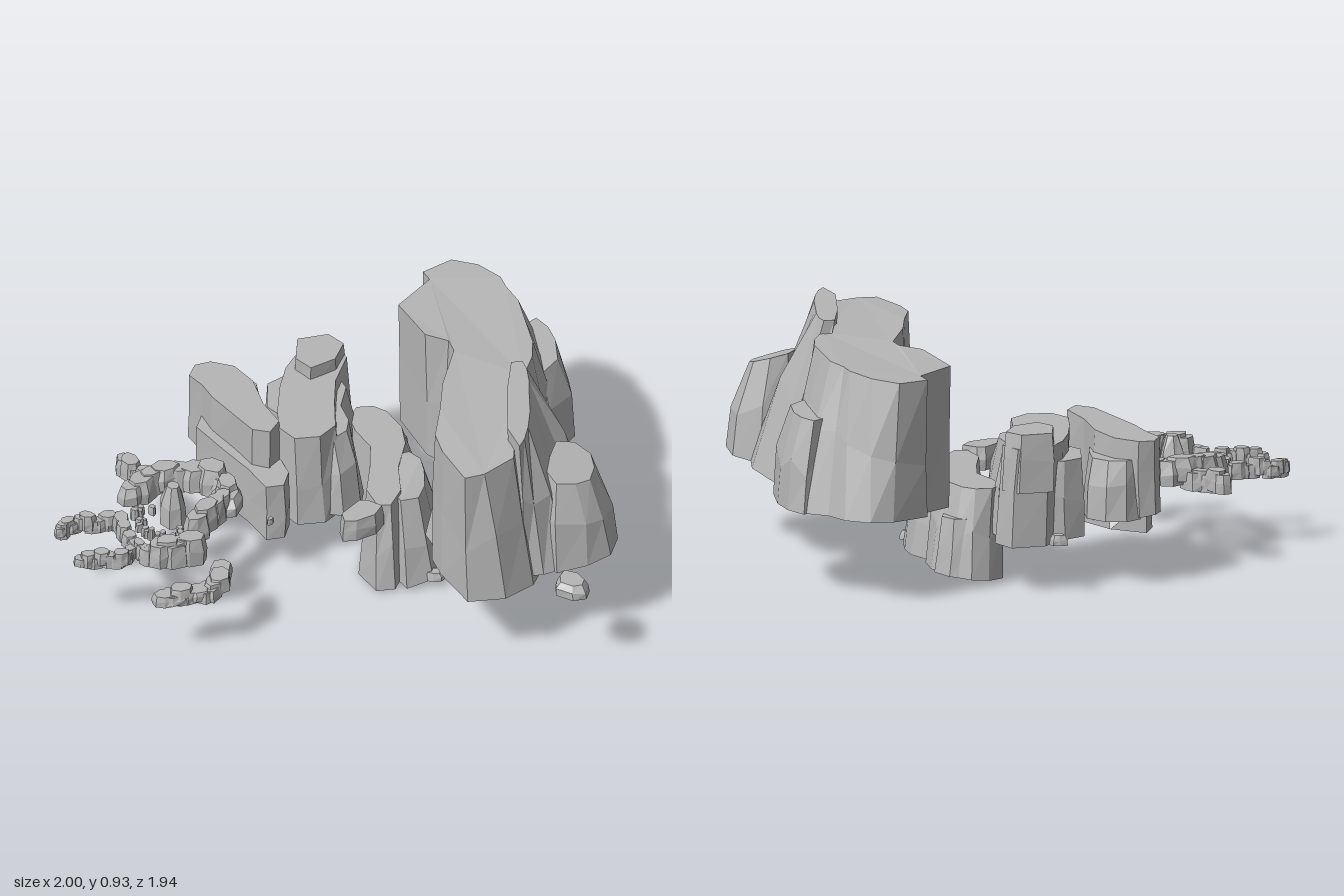
import * as THREE from 'three';
import { mergeGeometries } from 'three/addons/utils/BufferGeometryUtils.js';

const V2 = (p) => new THREE.Vector2(p[0], p[1]);
const pairs = (a) => Array.from({ length: a.length / 2 }, (_, i) => [a[2 * i], a[2 * i + 1]]);
const height = (y, x, z) => (typeof y === 'function' ? y(x, z) : y);
let seed = 7;
const rnd = () => (seed = (seed * 16807) % 2147483647) / 2147483647;

// True when a point lies within the body of a lofted rock.
function holds(rock, [x, y, z]) {
  const lo = height(rock.y0, x, z), hi = height(rock.y1, x, z);
  if (y < lo - 0.06 || y > hi - 0.002) return false;
  const t = Math.max(0, (y - lo) / (hi - lo));
  const ring = rock.base.map((p, i) => p.map((v, k) => v + (rock.top[i][k] - v) * t));
  let inside = false;
  ring.forEach(([ax, az], i) => {
    const [bx, bz] = ring[(i + 1) % ring.length];
    if (az > z !== bz > z && x < ((bx - ax) * (z - az)) / (bz - az) + ax) inside = !inside;
  });
  return inside;
}

// Faceted rock shell, open below, lofted from a base outline to a top outline ([x, z] points).
// Faces buried in one of the neighbours are left out.
function loft({ base, top, y0, y1, bulge = 0.35, rough = 0.012 }, neighbours = []) {
  if (THREE.ShapeUtils.area(top.map(V2)) < 0) {
    base = base.slice().reverse();
    top = top.slice().reverse();
  }
  const low = base.map(([x, z]) => [x, height(y0, x, z), z]);
  const high = top.map(([x, z]) => [x, height(y1, x, z), z]);
  // middle ring stays nearer the base so the sides swell before leaning in
  const mid = low.map((b, i) => {
    const t = high[i], k = 0.5 + (rnd() - 0.5) * 0.25;
    return [
      b[0] + (t[0] - b[0]) * bulge + (rnd() - 0.5) * rough,
      b[1] + (t[1] - b[1]) * k,
      b[2] + (t[2] - b[2]) * bulge + (rnd() - 0.5) * rough,
    ];
  });
  const pos = [];
  const face = (...corners) => {
    if (!neighbours.some((r) => corners.every((c) => holds(r, c)))) pos.push(...corners.flat());
  };
  for (const [b, t] of [[low, mid], [mid, high]]) {
    for (let i = 0; i < low.length; i++) {
      const j = (i + 1) % low.length;
      face(b[i], t[i], b[j]);
      face(t[i], t[j], b[j]);
    }
  }
  // top cap
  const flat = high.map((p) => new THREE.Vector2(p[0], p[2]));
  for (const [a, b, c] of THREE.ShapeUtils.triangulateShape(flat, [])) {
    const up = THREE.ShapeUtils.area([flat[a], flat[b], flat[c]]) < 0;
    face(high[a], high[up ? b : c], high[up ? c : b]);
  }
  const g = new THREE.BufferGeometry();
  g.setAttribute('position', new THREE.Float32BufferAttribute(pos, 3));
  g.computeVertexNormals();
  return g;
}

// Top outline from a base outline: shrink about the middle, then lean.
function shrink(base, s, dx = 0, dz = 0) {
  const cx = base.reduce((t, p) => t + p[0], 0) / base.length;
  const cz = base.reduce((t, p) => t + p[1], 0) / base.length;
  return base.map(([x, z]) => [cx + (x - cx) * s + dx, cz + (z - cz) * s + dz]);
}

// Small irregular stone.
function stone(x, z, rx, rz, y0, y1, turn = 0, taper = 0.8) {
  const base = [];
  for (let i = 0; i < 7; i++) {
    const a = (i / 7) * Math.PI * 2, k = 0.82 + rnd() * 0.3;
    const u = Math.cos(a) * rx * k, v = Math.sin(a) * rz * k;
    base.push([x + u * Math.cos(turn) - v * Math.sin(turn), z + u * Math.sin(turn) + v * Math.cos(turn)]);
  }
  return loft({ base, top: shrink(base, taper), y0, y1, bulge: 0.1, rough: rx * 0.15 });
}

// Broken ridge: stones strung along a path.
function ridge(points, count, r, y0, y1, taper = 0.85) {
  const curve = new THREE.CatmullRomCurve3(pairs(points).map(([x, z]) => new THREE.Vector3(x, 0, z)));
  return mergeGeometries(Array.from({ length: count }, (_, i) => {
    const t = i / (count - 1), p = curve.getPoint(t), d = curve.getTangent(t), k = 0.8 + rnd() * 0.4;
    return stone(p.x, p.z, r * 1.35 * k, r * k, y0 + rnd() * 0.02, y1 - rnd() * 0.035, Math.atan2(d.z, d.x), taper);
  }));
}

export function createModel() {
  seed = 7;
  const group = new THREE.Group();
  const rockGrey = new THREE.MeshStandardMaterial({ color: 0xb6b6b6, flatShading: true, side: THREE.DoubleSide });
  rockGrey.name = 'rockGrey';
  const add = (name, geometry) => {
    const m = new THREE.Mesh(geometry, rockGrey);
    m.name = name;
    group.add(m);
  };
  const rocks = [];
  const rockBetween = (name, base, top, y0, y1, bulge) =>
    rocks.push({ name, base: pairs(base), top: pairs(top), y0, y1, bulge });
  const rock = (name, base, y0, y1, s, dx, dz, bulge) =>
    rockBetween(name, base, shrink(pairs(base), s, dx, dz).flat(), y0, y1, bulge);

  // Great cliff: long slab with a steep front and a sloping back
  const cliffTop = [-0.30, -0.70, -0.25, -0.82, -0.14, -0.84, -0.02, -0.81, 0.03, -0.77, 0.12, -0.72, 0.22, -0.62,
    0.31, -0.53, 0.36, -0.45, 0.40, -0.33, 0.47, -0.2, 0.59, 0.02, 0.65, 0.12, 0.61, 0.26, 0.56, 0.32, 0.40, 0.23,
    0.32, 0.16, 0.25, 0.02, 0.17, -0.12, 0.09, -0.32, 0.04, -0.36, -0.06, -0.35, -0.26, -0.47, -0.25, -0.67];
  const cliffBase = [-0.30, -0.70, -0.26, -0.88, -0.20, -0.95, -0.10, -0.97, 0.00, -0.93, 0.10, -0.95, 0.26, -0.80,
    0.34, -0.68, 0.36, -0.56, 0.42, -0.42, 0.52, -0.2, 0.70, 0.0, 0.74, 0.12, 0.70, 0.25, 0.58, 0.33, 0.40, 0.24,
    0.32, 0.18, 0.24, 0.03, 0.16, -0.11, 0.06, -0.34, 0.02, -0.35, -0.06, -0.36, -0.26, -0.48, -0.25, -0.67];
  const cliffFoot = (x, z) => 0.30 + 0.055 * Math.max(0, -z - 0.2) + 0.12 * Math.max(0, x - 0.58)
    - 0.03 * Math.max(0, 1 - Math.abs(z + 0.1) * 4);
  rockBetween('greatCliff', cliffBase, cliffTop, cliffFoot,
    (x, z) => 0.885 - 0.08 * Math.max(0, -x) - 0.05 * Math.max(0, z), 0.45);
  // Buttress behind it, topped by a narrow crest
  const buttressBase = [0.38, -0.44, 0.48, -0.50, 0.56, -0.46, 0.67, -0.40, 0.74, -0.30, 0.82, -0.12, 0.82, 0.0,
    0.76, 0.08, 0.70, 0.12, 0.58, 0.05, 0.45, -0.2];
  const buttressTop = [0.35, -0.32, 0.38, -0.35, 0.42, -0.32, 0.47, -0.26, 0.51, -0.20, 0.58, -0.1, 0.63, -0.01,
    0.66, 0.06, 0.67, 0.11, 0.57, 0.04, 0.43, -0.17];
  const buttressFoot = (x) => 0.31 + 0.14 * Math.max(0, x - 0.5);
  rockBetween('cliffButtress', buttressBase, buttressTop, buttressFoot, 0.935, 0.42);
  rock('cliffShoulder', [0.60, -0.25, 0.68, -0.33, 0.80, -0.33, 0.88, -0.25, 0.92, -0.14, 0.88, -0.04, 0.80, 0.05, 0.68, 0],
    buttressFoot, (x) => 0.74 - 0.3 * (x - 0.65), 0.62, -0.04, 0.01, 0.28);
  rock('rearShoulder', [0.05, -0.78, 0.09, -0.96, 0.18, -0.93, 0.27, -0.86, 0.37, -0.73, 0.37, -0.58, 0.25, -0.55],
    0.34, 0.69, 0.76, -0.03, 0.03, 0.28);
  rock('frontSpur', [0.16, -0.1, 0.22, -0.11, 0.28, 0.03, 0.27, 0.1, 0.21, 0.06], 0.30, 0.5, 0.35, 0.03, -0.02);

  // Middle crag: lowest of the cliffs
  const cragFoot = (x, z) => Math.max(0, 0.012 - 0.1 * (z - 0.12) + 0.08 * x);
  const cragBase = [-0.40, -0.42, -0.36, -0.48, -0.28, -0.50, -0.16, -0.45, -0.08, -0.36, -0.03, -0.2, 0.07, -0.03,
    0.10, 0.1, 0.04, 0.14, -0.08, 0.08, -0.15, -0.06, -0.22, -0.18, -0.33, -0.24, -0.40, -0.32];
  const cragTop = [-0.39, -0.38, -0.34, -0.42, -0.28, -0.42, -0.18, -0.37, -0.11, -0.29, -0.05, -0.15, 0.04, -0.03,
    0.06, 0.07, 0.02, 0.1, -0.07, 0.04, -0.14, -0.09, -0.21, -0.2, -0.31, -0.25, -0.38, -0.31];
  rockBetween('middleCrag', cragBase, cragTop, cragFoot, 0.385);
  rock('cragButtress', [-0.10, -0.25, -0.06, -0.31, 0.03, -0.29, 0.10, -0.22, 0.17, -0.12, 0.20, -0.01, 0.14, 0.08, 0.02, 0.02],
    cragFoot, (x) => 0.383 - 0.2 * Math.max(0, x), 0.68, -0.05, 0, 0.35);
  rock('cragRearButtress', [-0.38, -0.38, -0.35, -0.47, -0.28, -0.51, -0.20, -0.49, -0.16, -0.4, -0.25, -0.34],
    cragFoot, 0.27, 0.8, 0, 0.02);
  rock('cragFrontBlock', [-0.05, 0.12, -0.02, 0.1, 0.05, 0.1, 0.06, 0.17, 0.02, 0.25, -0.02, 0.28, -0.06, 0.24],
    0.31, 0.4, 0.9, 0, 0);

  // Left crags: two slabs with ledges and buttresses
  rock('inwardCrag', [-0.63, -0.38, -0.54, -0.48, -0.44, -0.44, -0.39, -0.28, -0.31, -0.15, -0.22, -0.02, -0.23, 0.08,
    -0.31, 0.15, -0.41, 0.12, -0.48, 0.02, -0.56, -0.12, -0.61, -0.24], 0.19, 0.57, 0.92, -0.02, 0, 0.4);
  rock('inwardCragCap', [-0.65, -0.36, -0.56, -0.46, -0.47, -0.44, -0.44, -0.33, -0.49, -0.22, -0.58, -0.24],
    0.4, 0.625, 0.9, 0, 0.01);
  rock('inwardButtress', [-0.42, -0.40, -0.36, -0.36, -0.30, -0.22, -0.20, -0.14, -0.16, -0.06, -0.18, 0.03, -0.25, 0.06, -0.4, -0.1],
    0.21, 0.52, 0.76, -0.05, 0, 0.35);
  rock('inwardSideLobe', [-0.69, -0.2, -0.66, -0.29, -0.60, -0.33, -0.52, -0.18, -0.52, -0.04, -0.6, -0.06],
    0.2, 0.5, 0.88, 0.01, 0.01);
  rock('outerCrag', [-0.92, -0.06, -0.88, -0.11, -0.78, -0.13, -0.66, -0.08, -0.54, 0.03, -0.42, 0.1, -0.41, 0.18,
    -0.48, 0.20, -0.60, 0.15, -0.74, 0.09, -0.82, 0.04, -0.90, 0.01], (x) => 0.22 + 0.2 * Math.max(0, -x - 0.6),
    (x) => 0.6 + 0.06 * (x + 0.42), 0.97, 0, 0, 0.5);
  rock('outerRearLobe', [-0.88, -0.1, -0.86, -0.17, -0.79, -0.21, -0.70, -0.2, -0.62, -0.1, -0.56, 0, -0.7, 0.04],
    0.27, 0.5, 0.85, 0, 0.02, 0.3);
  rock('outerLedge', [-0.83, 0.02, -0.68, 0, -0.45, 0.08, -0.34, 0.16, -0.31, 0.24, -0.36, 0.29, -0.48, 0.23,
    -0.62, 0.18, -0.80, 0.11], 0.185, 0.43, 0.98, 0, 0);
  for (const r of rocks) add(r.name, loft(r, rocks.filter((o) => o !== r)));

  // Broken ring of boulders in front of the left crags
  add('boulderRing', ridge([-0.83, 0.5, -0.80, 0.4, -0.72, 0.31, -0.60, 0.26, -0.51, 0.33, -0.50, 0.42, -0.51, 0.54], 14, 0.05, 0.3, 0.42, 0.72));
  add('ringCentreStone', stone(-0.65, 0.49, 0.055, 0.05, 0.28, 0.45, 0.4, 0.45));
  add('sideRidge', ridge([-0.955, 0.35, -0.90, 0.37, -0.83, 0.36], 6, 0.034, 0.28, 0.38));

  // Low scattered ridges
  add('frontLeftRidge', ridge([-0.96, 0.80, -0.94, 0.74, -0.88, 0.70, -0.81, 0.63, -0.75, 0.68, -0.67, 0.73, -0.60, 0.76], 22, 0.026, 0.265, 0.35));
  add('tallStones', ridge([-0.54, 0.74, -0.50, 0.70, -0.46, 0.66], 6, 0.042, 0.27, 0.41));
  add('frontSpurRidge', ridge([-0.79, 0.91, -0.73, 0.86, -0.67, 0.82, -0.66, 0.77], 10, 0.025, 0.265, 0.34));
  add('frontRightRidge', ridge([-0.40, 0.93, -0.35, 0.87, -0.30, 0.81, -0.28, 0.75, -0.31, 0.68], 11, 0.042, 0.255, 0.335));

  // Pebbles between the ridges
  add('pebbles', mergeGeometries(Array.from({ length: 16 }, (_, i) => {
    const a = 0.2 + i * 0.22, r = 0.08 + rnd() * 0.05;
    return stone(-0.66 + Math.cos(a) * r, 0.53 + Math.sin(a) * 0.1, 0.018, 0.014, 0.28, 0.31 + rnd() * 0.02, a);
  })));

  // Lone stones at the foot of the cliffs
  add('farStone', stone(0.915, 0.12, 0.085, 0.06, 0.36, 0.415, 0.2, 0.7));
  add('crevasseStone', stone(0.2, -0.02, 0.04, 0.03, 0.04, 0.075, -0.6, 0.7));
  add('rearStone', stone(-0.68, -0.37, 0.035, 0.03, 0.2, 0.24, -0.6, 0.7));
  add('tinyStone', stone(-0.29, 0.37, 0.01, 0.018, 0.34, 0.365));
  return group;
}
